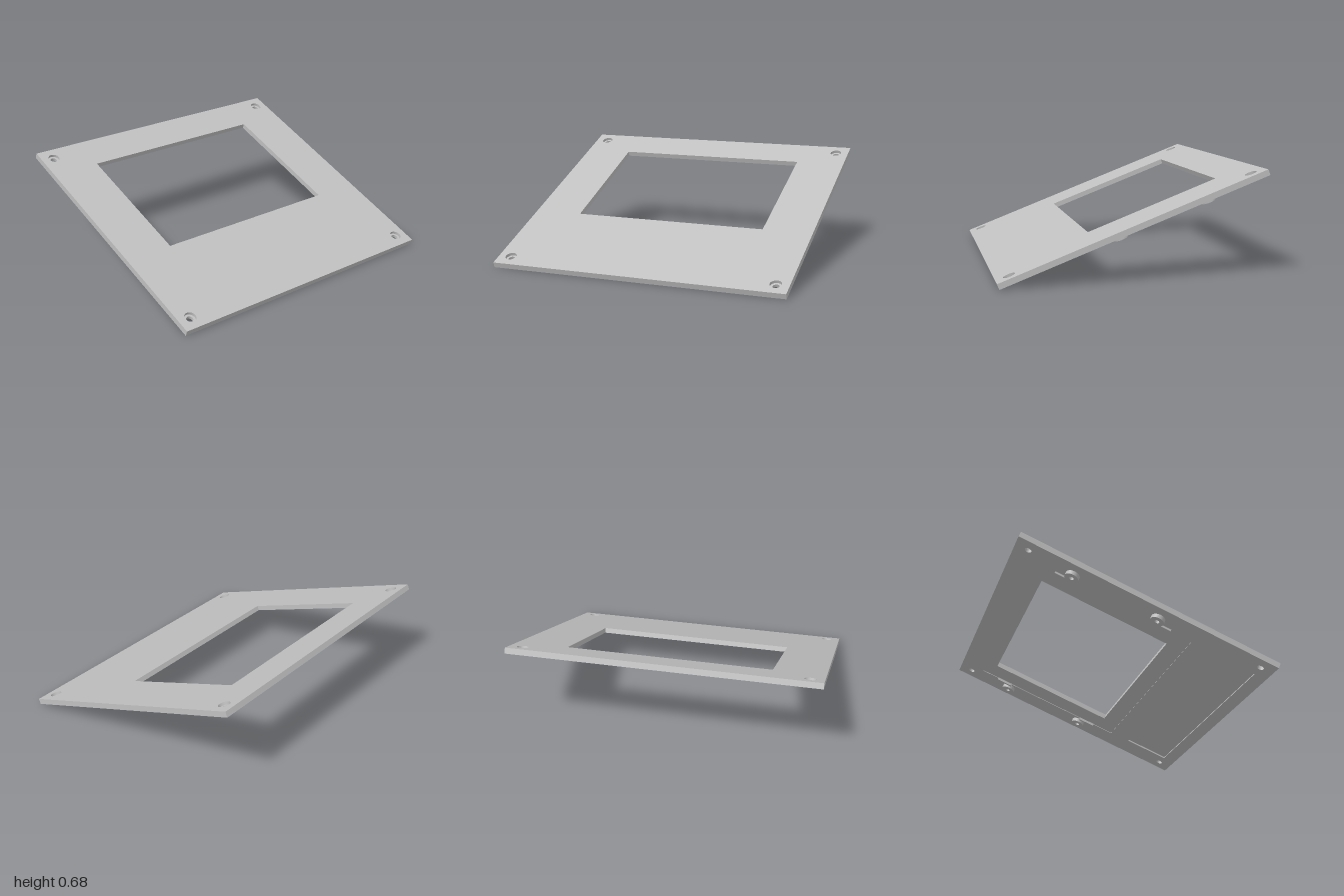
import * as THREE from 'three';

const TILT = THREE.MathUtils.degToRad(21);
const W = 2, L = 1.79, HALF = 0.019; // panel width, length, half thickness

// Rectangle outline in panel coordinates (z runs towards the front edge)
function rect(path, x, zBack, zFront) {
  path.moveTo(-x, -zFront);
  path.lineTo(x, -zFront);
  path.lineTo(x, -zBack);
  path.lineTo(-x, -zBack);
  path.closePath();
  return path;
}

function circle(path, x, z, r) {
  path.absarc(x, -z, r, 0, Math.PI * 2, false);
  return path;
}

// Extrude a flat outline between two heights of the panel
function slab(shape, y0, y1) {
  const g = new THREE.ExtrudeGeometry(shape, { depth: y1 - y0, bevelEnabled: false, curveSegments: 24 });
  g.rotateX(-Math.PI / 2);
  g.translate(0, y0, 0);
  return g;
}

export function createModel() {
  const grey = new THREE.MeshStandardMaterial({ color: 0xc0c0c0 });
  grey.name = 'light grey';

  const model = new THREE.Group();
  model.name = 'slopedPanel';
  const panel = new THREE.Group();
  panel.name = 'panel';
  panel.rotation.x = TILT;
  panel.position.y = (L / 2) * Math.sin(TILT) + HALF * Math.cos(TILT);
  model.add(panel);

  const add = (name, geometry) => {
    const mesh = new THREE.Mesh(geometry, grey);
    mesh.name = name;
    panel.add(mesh);
    return mesh;
  };

  // Openings cut through the layers of the plate
  const window_ = () => rect(new THREE.Path(), 0.665, -0.65, 0.242);
  const displayRecess = () => rect(new THREE.Path(), 0.83, -0.73, 0.358);
  const frontRecess = () => rect(new THREE.Path(), 0.815, 0.5, 0.812);
  const screwHoles = (r) => [-1, 1].flatMap((sx) =>
    [-1, 1].map((sz) => circle(new THREE.Path(), sx * 0.912, sz * 0.808, r)));

  const layers = [
    ['undersideRim', -HALF, -0.015, [displayRecess(), frontRecess(), ...screwHoles(0.022)]],
    ['recessLayer', -0.015, -0.009, [window_(), frontRecess(), ...screwHoles(0.022)]],
    ['coreLayer', -0.009, 0, [window_(), ...screwHoles(0.022)]],
    ['topLayer', 0, HALF, [window_(), ...screwHoles(0.038)]], // wider holes form the counterbores
  ];
  for (const [name, y0, y1, holes] of layers) {
    const shape = rect(new THREE.Shape(), W / 2, -L / 2, L / 2);
    shape.holes.push(...holes);
    add(name, slab(shape, y0, y1));
  }

  // Screw bosses and short locating ribs on the underside
  for (const side of [-1, 1]) {
    for (const [zBoss, ribBack, ribFront] of [[-0.497, -0.602, -0.49], [0.095, 0.09, 0.207]]) {
      const ring = circle(new THREE.Shape(), side * 0.89, zBoss, 0.046);
      ring.holes.push(circle(new THREE.Path(), side * 0.89, zBoss, 0.016));
      add('screwBoss', slab(ring, -0.046, -HALF + 0.001));

      const rib = add('locatingRib', new THREE.BoxGeometry(0.016, 0.018, ribFront - ribBack));
      rib.position.set(side * 0.834, -0.023, (ribBack + ribFront) / 2);
    }
  }
  return model;
}
